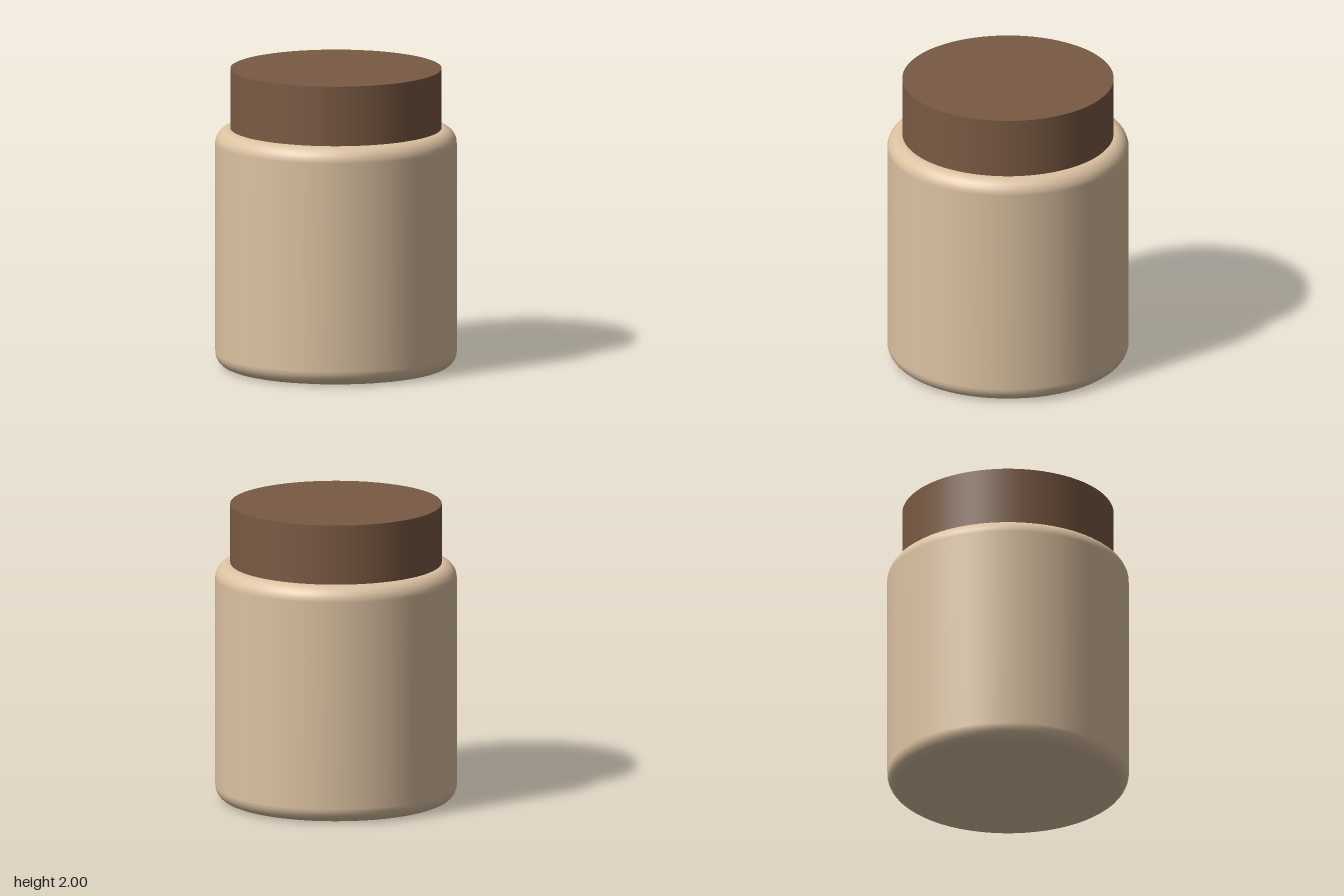
import * as THREE from 'three';

const SEGMENTS = 64;

export function createModel() {
  const group = new THREE.Group();
  const add = (name, geometry, color) => {
    const mesh = new THREE.Mesh(geometry, new THREE.MeshStandardMaterial({ color }));
    mesh.name = name;
    group.add(mesh);
    return mesh;
  };

  // Jar body: closed profile with rounded bottom and shoulder edges
  const radius = 0.8, height = 1.6, round = 0.1, steps = 6;
  const profile = [new THREE.Vector2(0, 0)];
  for (const [centreY, start] of [[round, -Math.PI / 2], [height - round, 0]]) {
    for (let i = 0; i <= steps; i++) {
      const a = start + (i / steps) * Math.PI / 2;
      profile.push(new THREE.Vector2(radius - round + round * Math.cos(a), centreY + round * Math.sin(a)));
    }
  }
  profile.push(new THREE.Vector2(0, height));
  add('jarBody', new THREE.LatheGeometry(profile, SEGMENTS), 0xdcc2a2);

  // Lid: plain disc standing on the shoulder
  const lidHeight = 0.4;
  const lid = add('lid', new THREE.CylinderGeometry(0.7, 0.7, lidHeight, SEGMENTS), 0x7a5a43);
  lid.position.y = height + lidHeight / 2;

  return group;
}
